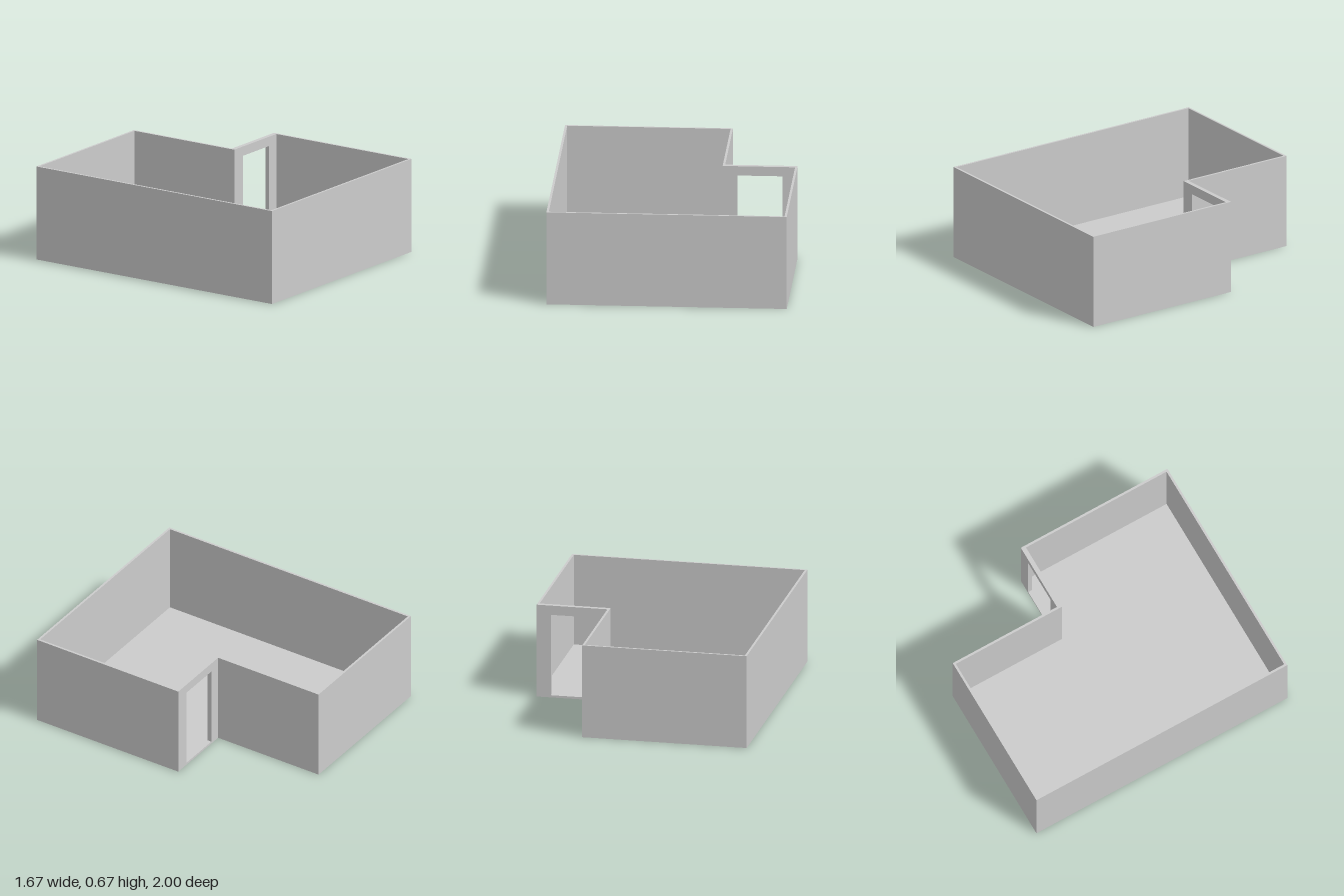
import * as THREE from 'three';

const material = new THREE.MeshStandardMaterial({ color: 0xcccccc, flatShading: true });

// Room dimensions
const X = 0.833, Z = 1, TOP = 0.667;
const WALL = 0.016, FLOOR = 0.016;
const NOTCH_X = 0.331, NOTCH_Z = -0.169, DOOR_WALL = 0.032;
const DOOR_L = 0.73, DOOR_R = 0.417, DOOR_TOP = 0.6;

// Extrudes a floor-plan outline of [x, z] points between two heights
function extrudePlan(name, points, bottom, top) {
  const shape = new THREE.Shape(points.map(([x, z]) => new THREE.Vector2(x, z)));
  const geometry = new THREE.ExtrudeGeometry(shape, { depth: top - bottom, bevelEnabled: false });
  geometry.rotateX(Math.PI / 2).translate(0, top, 0);
  const mesh = new THREE.Mesh(geometry, material);
  mesh.name = name;
  return mesh;
}

export function createModel() {
  const room = new THREE.Group();
  room.name = 'room';

  // L-shaped floor slab
  room.add(extrudePlan('floor', [
    [-X, -Z], [NOTCH_X, -Z], [NOTCH_X, NOTCH_Z], [X, NOTCH_Z], [X, Z], [-X, Z],
  ], 0, FLOOR));

  // Walls run round the plan from one door jamb to the other, then back inside
  const ix = X - WALL, iz = Z - WALL;
  const inX = NOTCH_X - WALL, inZ = NOTCH_Z + DOOR_WALL;
  room.add(extrudePlan('walls', [
    [DOOR_L, NOTCH_Z], [X, NOTCH_Z], [X, Z], [-X, Z], [-X, -Z],
    [NOTCH_X, -Z], [NOTCH_X, NOTCH_Z], [DOOR_R, NOTCH_Z],
    [DOOR_R, inZ], [inX, inZ], [inX, -iz], [-ix, -iz], [-ix, iz],
    [ix, iz], [ix, inZ], [DOOR_L, inZ],
  ], FLOOR, TOP));

  // Lintel over the doorway
  room.add(extrudePlan('doorLintel', [
    [DOOR_R, NOTCH_Z], [DOOR_L, NOTCH_Z], [DOOR_L, inZ], [DOOR_R, inZ],
  ], DOOR_TOP, TOP));

  return room;
}
